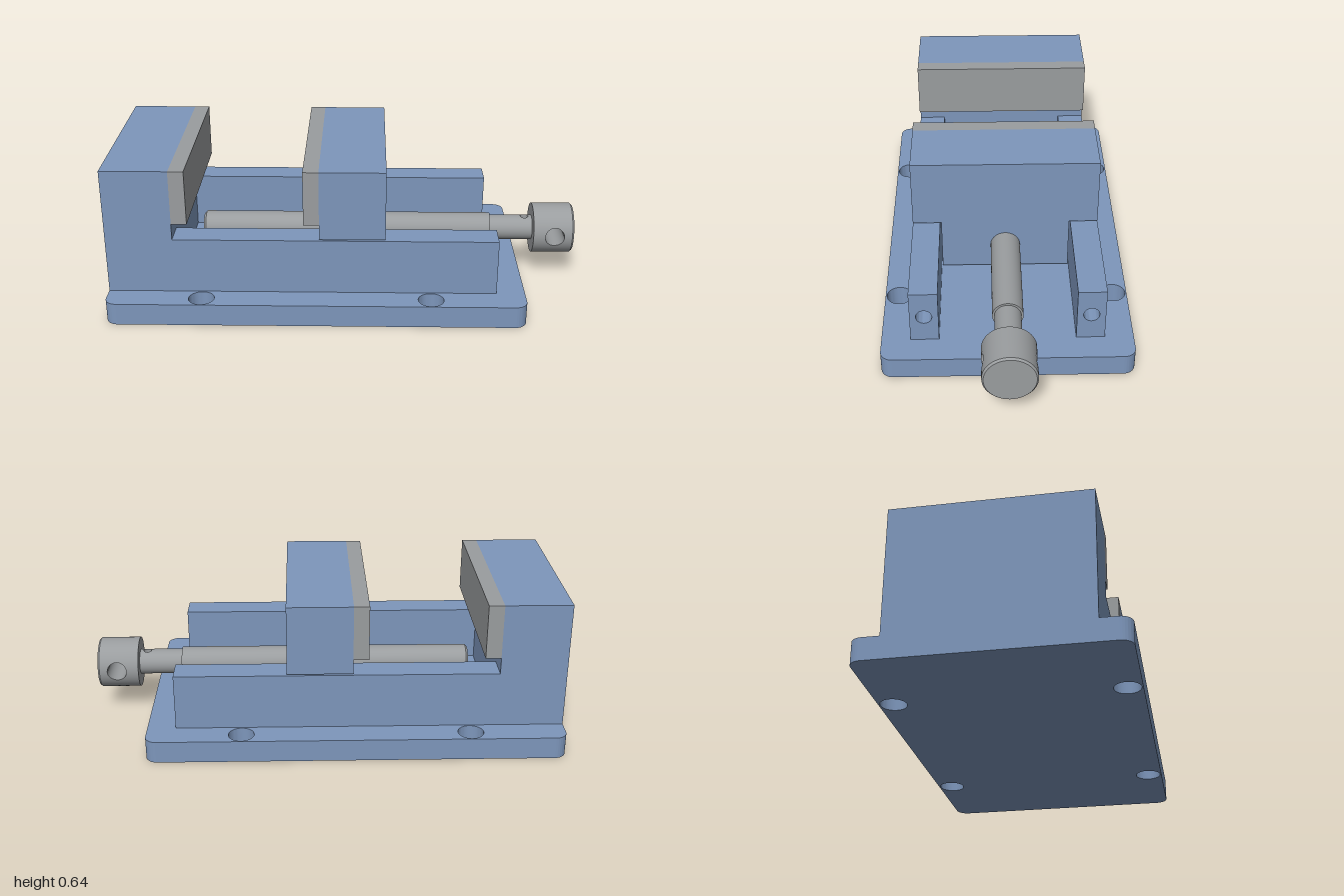
import * as THREE from 'three';
import { toCreasedNormals } from 'three/addons/utils/BufferGeometryUtils.js';

const blue = new THREE.MeshStandardMaterial({ name: 'blue paint', color: 0x7d96bb });
const steel = new THREE.MeshStandardMaterial({ name: 'steel', color: 0x9a9d9f });

function add(parent, name, geometry, material) {
  const mesh = new THREE.Mesh(geometry, material);
  mesh.name = name;
  parent.add(mesh);
  return mesh;
}

// Box given by its limits
function block(parent, name, material, [x0, x1], [y0, y1], [z0, z1]) {
  const mesh = add(parent, name, new THREE.BoxGeometry(x1 - x0, y1 - y0, z1 - z0), material);
  mesh.position.set((x0 + x1) / 2, (y0 + y1) / 2, (z0 + z1) / 2);
  return mesh;
}

// Cylinder lying along x; r0 is the radius at x0, r1 at x1
function rod(parent, name, x0, x1, r0, r1 = r0) {
  const geometry = new THREE.CylinderGeometry(r1, r0, x1 - x0, 48).rotateZ(-Math.PI / 2);
  geometry.translate((x0 + x1) / 2, 0, 0);
  return add(parent, name, geometry, steel);
}

function hole(shape, x, y, r) {
  shape.holes.push(new THREE.Path().absarc(x, y, r, 0, Math.PI * 2, true));
}

function extrude(shape, depth) {
  const geometry = new THREE.ExtrudeGeometry(shape, { depth, bevelEnabled: false, curveSegments: 20 });
  return toCreasedNormals(geometry, Math.PI / 6);
}

// Surface grid; f(u index, v index) gives a position and a normal
function grid(nu, nv, f) {
  const pos = [], nor = [], index = [];
  for (let i = 0; i <= nu; i++) {
    for (let j = 0; j <= nv; j++) {
      const [p, n] = f(i, j);
      pos.push(...p);
      nor.push(...n);
      if (i < nu && j < nv) {
        const a = i * (nv + 1) + j, b = a + nv + 1;
        index.push(a, b, b + 1, a, b + 1, a + 1);
      }
    }
  }
  const geometry = new THREE.BufferGeometry();
  geometry.setAttribute('position', new THREE.Float32BufferAttribute(pos, 3));
  geometry.setAttribute('normal', new THREE.Float32BufferAttribute(nor, 3));
  geometry.setIndex(index);
  return geometry;
}

// Cylinder wall along x with a hole of radius r drilled across it along z
function crossDrilled(parent, name, x0, x1, R, xc, r) {
  const group = new THREE.Group();
  group.name = name;
  const stations = [x0];
  for (let i = 0; i <= 20; i++) stations.push(xc - r * Math.cos(i * Math.PI / 20));
  stations.push(x1);
  for (const start of [0, Math.PI]) {
    add(group, name + 'Wall', grid(stations.length - 1, 24, (i, j) => {
      const x = stations[i];
      const a = Math.asin(Math.sqrt(Math.max(0, r * r - (x - xc) ** 2)) / R);
      const t = start + a + (Math.PI - 2 * a) * j / 24;
      const s = Math.sin(t), c = Math.cos(t);
      return [[x, R * s, R * c], [0, s, c]];
    }), steel);
  }
  add(group, name + 'Bore', grid(40, 1, (i, j) => {
    const s = Math.sin(i * Math.PI / 20), c = Math.cos(i * Math.PI / 20);
    const z = Math.sqrt(R * R - r * r * s * s) * (j ? -1 : 1);
    return [[xc + r * c, r * s, z], [-c, -s, 0]];
  }), steel);
  parent.add(group);
  return group;
}

export function createModel() {
  const model = new THREE.Group();
  model.name = 'machineVise';

  // Base plate with rounded corners and four mounting holes
  const x0 = -1, x1 = 0.755, w = 0.52, c = 0.05;
  const plate = new THREE.Shape();
  plate.absarc(x1 - c, w - c, c, 0, Math.PI / 2);
  plate.absarc(x0 + c, w - c, c, Math.PI / 2, Math.PI);
  plate.absarc(x0 + c, -w + c, c, Math.PI, Math.PI * 1.5);
  plate.absarc(x1 - c, -w + c, c, Math.PI * 1.5, Math.PI * 2);
  for (const x of [-0.602, 0.357]) for (const z of [-0.46, 0.46]) hole(plate, x, z, 0.054);
  add(model, 'basePlate', extrude(plate, 0.095).rotateX(-Math.PI / 2), blue);

  // Fixed jaw and its grip plate
  block(model, 'fixedJaw', blue, [-1, -0.72], [0.095, 0.64], [-0.4, 0.4]);
  block(model, 'fixedJawPlate', steel, [-0.72, -0.655], [0.405, 0.64], [-0.4, 0.4]);

  // Guide rails, each with a bore in its open end
  for (const side of [-1, 1]) {
    const rail = new THREE.Group();
    rail.name = side > 0 ? 'frontRail' : 'backRail';
    block(rail, 'railBody', blue, [-0.72, 0.4], [0.095, 0.335], [-0.059, 0.059]);
    const end = new THREE.Shape();
    end.moveTo(-0.059, 0.095).lineTo(0.059, 0.095).lineTo(0.059, 0.335).lineTo(-0.059, 0.335);
    end.closePath();
    hole(end, 0, 0.216, 0.033);
    add(rail, 'railEnd', extrude(end, 0.235).rotateY(Math.PI / 2), blue).position.x = 0.4;
    rail.position.z = side * 0.341;
    model.add(rail);
  }

  // Sliding jaw with its tongue between the rails
  block(model, 'slidingJaw', blue, [-0.11, 0.165], [0.341, 0.64], [-0.4, 0.4]);
  block(model, 'slidingJawTongue', blue, [-0.11, 0.165], [0.105, 0.341], [-0.277, 0.277]);
  block(model, 'slidingJawPlate', steel, [-0.175, -0.11], [0.405, 0.64], [-0.4, 0.4]);

  // Lead screw, neck with a pin hole, and cross-drilled head
  const screw = new THREE.Group();
  screw.name = 'leadScrew';
  screw.position.y = 0.218;
  rod(screw, 'screwTip', -0.64, -0.63, 0.054, 0.064);
  rod(screw, 'screwShaft', -0.63, 0.635, 0.064);
  crossDrilled(screw, 'screwNeck', 0.635, 0.822, 0.055, 0.79, 0.018).rotation.x = Math.PI / 2;
  rod(screw, 'headBack', 0.822, 0.826, 0.11);
  crossDrilled(screw, 'screwHead', 0.826, 0.992, 0.11, 0.916, 0.042);
  rod(screw, 'headChamfer', 0.992, 1, 0.11, 0.103);
  model.add(screw);

  return model;
}
